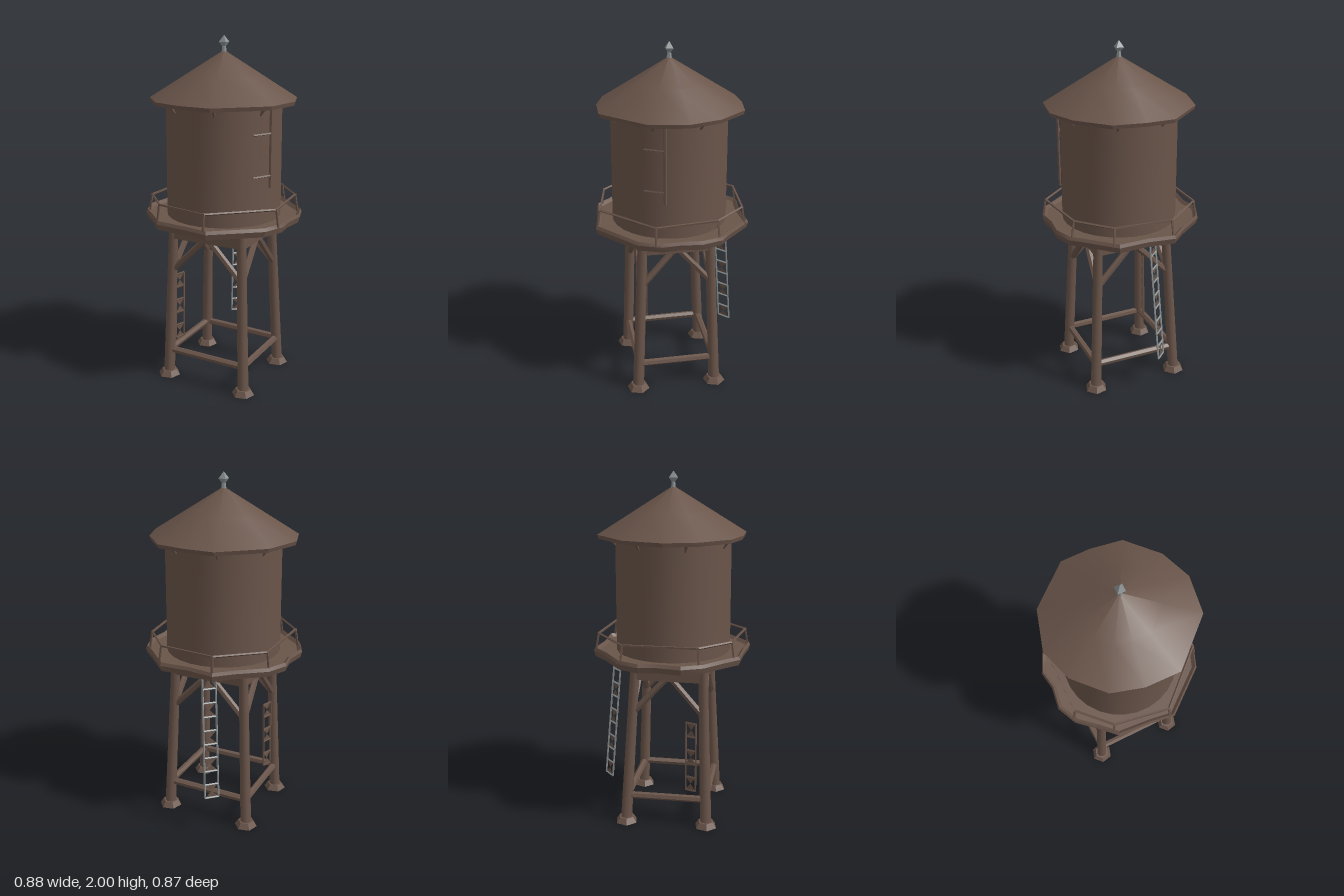
import * as THREE from 'three';
import { toCreasedNormals } from 'three/addons/utils/BufferGeometryUtils.js';

const V = (x, y, z) => new THREE.Vector3(x, y, z);

export function createModel() {
  const brown = new THREE.MeshStandardMaterial({ color: 0x6a554a, side: THREE.DoubleSide });
  brown.name = 'weathered brown';
  const grey = new THREE.MeshStandardMaterial({ color: 0x8a9192, side: THREE.DoubleSide });
  grey.name = 'bare metal';
  const model = new THREE.Group();
  model.name = 'waterTower';

  const add = (name, geometry, material = brown, parent = model) => {
    const mesh = new THREE.Mesh(geometry, material);
    mesh.name = name;
    parent.add(mesh);
    return mesh;
  };
  const group = (name) => {
    const g = new THREE.Group();
    g.name = name;
    model.add(g);
    return g;
  };
  // Round bar from a to b
  const bar = (name, a, b, r0, r1 = r0, sides = 6, material = brown, parent = model) => {
    const dir = b.clone().sub(a);
    const geo = toCreasedNormals(new THREE.CylinderGeometry(r1, r0, dir.length(), sides), 0.9);
    const mesh = add(name, geo, material, parent);
    mesh.position.copy(a).lerp(b, 0.5);
    mesh.quaternion.setFromUnitVectors(V(0, 1, 0), dir.normalize());
    return mesh;
  };
  // Stack of scaled copies of a ground outline, listed from top to bottom as [scale, y]
  const stack = (outline, rings, crease) => {
    const n = outline.length, pos = [], index = [];
    for (const [s, y] of rings) for (const [x, z] of outline) pos.push(x * s, y, z * s);
    for (let i = 0; i < rings.length - 1; i++) {
      for (let j = 0; j < n; j++) {
        const k = (j + 1) % n;
        const a = i * n + j, b = i * n + k, c = a + n, d = b + n;
        index.push(a, b, c, b, d, c);
      }
    }
    const geo = new THREE.BufferGeometry();
    geo.setAttribute('position', new THREE.Float32BufferAttribute(pos, 3));
    geo.setIndex(index);
    return toCreasedNormals(geo, crease);
  };

  // Tank
  const tank = add('tank', toCreasedNormals(new THREE.CylinderGeometry(0.325, 0.328, 0.68, 28), 0.6));
  tank.position.y = 1.33;

  // Conical roof with an uneven eave
  const eave = [[-0.12, -0.4], [0.17, -0.39], [0.29, -0.28], [0.4, -0.14], [0.4, 0.08], [0.33, 0.25],
    [0.16, 0.385], [-0.17, 0.385], [-0.31, 0.25], [-0.4, 0.1], [-0.4, -0.11], [-0.32, -0.28]];
  add('roof', stack(eave, [[0.001, 1.92], [0.5, 1.79], [1, 1.66], [0.985, 1.638], [0.8, 1.645], [0.001, 1.66]], 0.5));
  const eaveBrackets = group('eaveBrackets');
  for (let i = 0; i < 8; i++) {
    const a = (i + 0.5) * Math.PI / 4, c = Math.cos(a), s = Math.sin(a);
    bar('eaveBracket', V(c * 0.325, 1.6, s * 0.325), V(c * 0.36, 1.65, s * 0.36), 0.005, 0.014, 4, brown, eaveBrackets);
  }

  // Finial
  bar('finialStem', V(0, 1.9, 0), V(0, 1.945, 0), 0.016, 0.01, 6, grey);
  const finial = add('finial', new THREE.OctahedronGeometry(1).toNonIndexed(), grey);
  finial.scale.set(0.03, 0.037, 0.03);
  finial.position.y = 1.963;

  // Walkway deck
  const deck = [[-0.12, -0.44], [0.06, -0.42], [0.19, -0.42], [0.29, -0.3], [0.42, -0.19], [0.43, 0.02],
    [0.44, 0.1], [0.39, 0.21], [0.3, 0.29], [0.24, 0.37], [0.12, 0.43], [-0.2, 0.41], [-0.29, 0.3],
    [-0.42, 0.16], [-0.425, 0.05], [-0.44, -0.1], [-0.4, -0.22], [-0.3, -0.3], [-0.24, -0.39]];
  add('deck', stack(deck, [[0.001, 1.0], [0.94, 1.0], [0.98, 1.018], [1, 1.0], [0.98, 0.968],
    [0.75, 0.94], [0.001, 0.94]], 0.5));

  // Railing
  const railing = group('railing');
  const posts = [[-0.12, -0.41], [0.18, -0.39], [0.4, -0.15], [0.4, 0.09], [0.2, 0.37],
    [-0.2, 0.37], [-0.395, 0.12], [-0.4, -0.11]];
  posts.forEach(([x, z], i) => {
    const [nx, nz] = posts[(i + 1) % posts.length];
    bar('railPost', V(x * 1.04, 1.0, z * 1.04), V(x, 1.105, z), 0.007, 0.007, 4, brown, railing);
    bar('topRail', V(x, 1.1, z), V(nx, 1.1, nz), 0.007, 0.007, 4, brown, railing);
  });

  // Legs, each with a spreading foot
  const legs = [
    [V(0.03, 0.02, 0.34), V(0.03, 0.97, 0.28)],
    [V(0.34, 0.02, 0), V(0.285, 0.97, 0)],
    [V(-0.03, 0.02, -0.35), V(-0.03, 0.97, -0.275)],
    [V(-0.34, 0.02, 0), V(-0.295, 0.97, 0)],
  ];
  const at = ([a, b], y) => a.clone().lerp(b, (y - a.y) / (b.y - a.y));
  legs.forEach((leg, i) => {
    const next = legs[(i + 1) % 4];
    bar('leg', leg[0], leg[1], 0.033, 0.027, 8);
    const foot = add('foot', toCreasedNormals(new THREE.CylinderGeometry(0.045, 0.066, 0.032, 6), 0.5));
    foot.position.set(leg[0].x, 0.016, leg[0].z);

    // Lower tie and upper beam to the next leg
    bar('lowerTie', at(leg, 0.165), at(next, 0.165), 0.02);
    const p = at(leg, 0.91), q = at(next, 0.91);
    const beam = add('upperBeam', new THREE.BoxGeometry(0.045, 0.09, p.distanceTo(q)));
    beam.position.copy(p).lerp(q, 0.5);
    beam.lookAt(q);

    // Diagonal braces meeting under the beam
    const mid = p.clone().lerp(q, 0.5);
    for (const [l, t] of [[leg, p], [next, q]]) {
      bar('brace', at(l, 0.665), mid.clone().lerp(t, 0.08).setY(0.875), 0.019);
    }
  });

  // Ladder between two slanted rails, with rungs and bow-tie webs
  const ladder = (name, l0, l1, r0, r1, count, railMaterial) => {
    const g = group(name);
    bar('ladderRail', l0, l1, 0.006, 0.006, 4, railMaterial, g);
    bar('ladderRail', r0, r1, 0.006, 0.006, 4, railMaterial, g);
    for (let i = 0; i <= count; i++) {
      const t = i / count, u = (i + 1) / count;
      const a = l0.clone().lerp(l1, t), b = r0.clone().lerp(r1, t);
      bar('rung', a, b, 0.006, 0.006, 4, railMaterial, g);
      if (i % 2 || i === count) continue;
      const c = l0.clone().lerp(l1, u), d = r0.clone().lerp(r1, u);
      const m = a.clone().lerp(d, 0.5);
      const web = new THREE.BufferGeometry().setFromPoints([a, b, m, c, m, d]);
      web.computeVertexNormals();
      add('ladderWeb', web, brown, g);
    }
  };
  ladder('backLadder', V(0.215, 0.22, -0.345), V(0.205, 0.95, -0.275),
    V(0.135, 0.22, -0.345), V(0.13, 0.95, -0.275), 9, grey);
  ladder('sideLadder', V(-0.29, 0.21, -0.04), V(-0.285, 0.62, -0.035),
    V(-0.235, 0.21, -0.07), V(-0.23, 0.62, -0.065), 5, brown);

  // Standpipe on the tank with two side pegs
  bar('standpipe', V(0.19, 1.2, 0.28), V(0.19, 1.64, 0.28), 0.009);
  for (const y of [1.27, 1.5]) {
    bar('pipePeg', V(0.19, y, 0.283), V(0.08, y, 0.322), 0.006, 0.006, 4);
  }

  return model;
}
